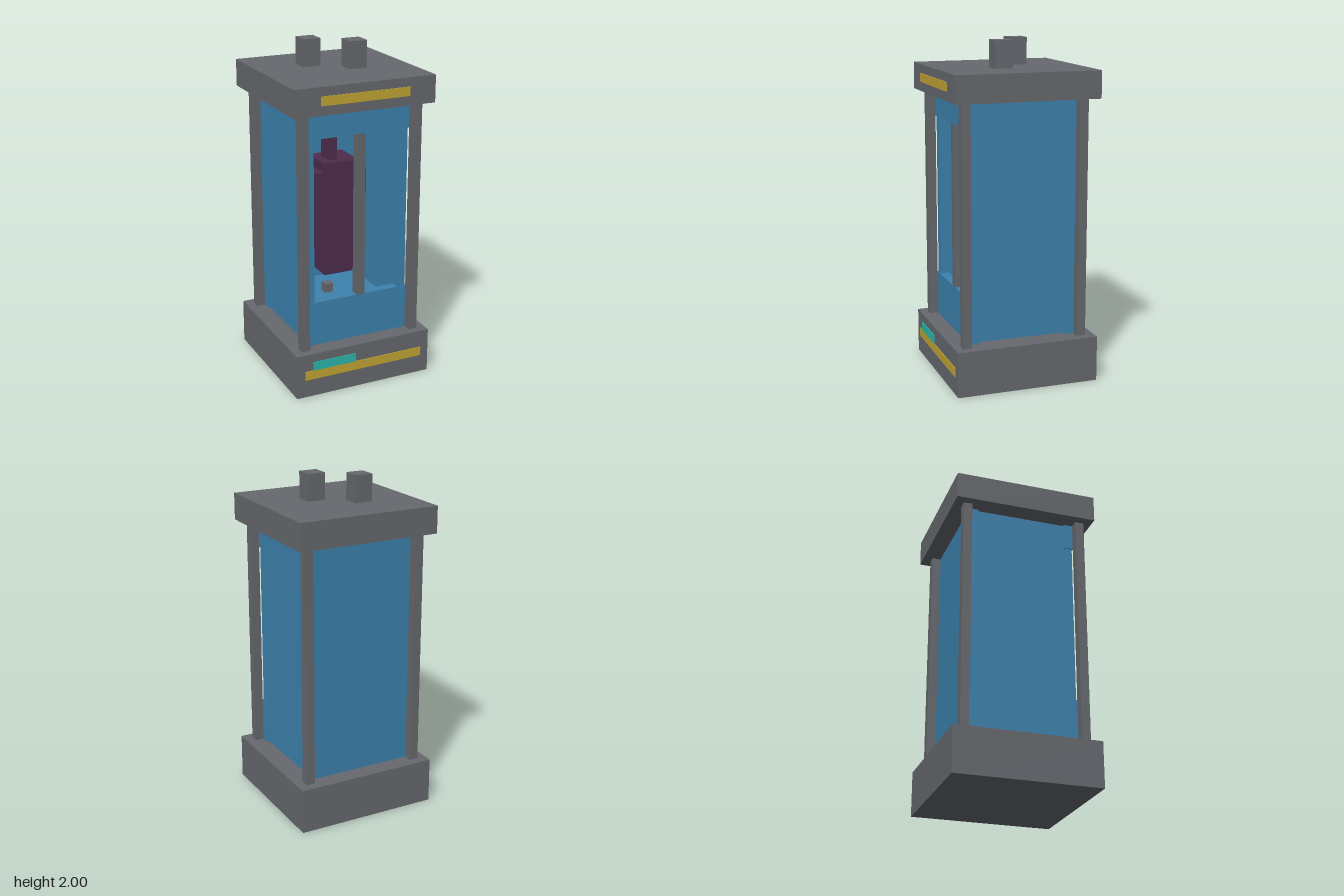
import * as THREE from 'three';

const mat = (name, color) => {
  const m = new THREE.MeshStandardMaterial({ color });
  m.name = name;
  return m;
};

export function createModel() {
  const model = new THREE.Group();
  model.name = 'displayChamber';
  const grey = mat('metalGrey', 0x66696e);
  const blue = mat('panelBlue', 0x3d82ad);
  const purple = mat('figurePurple', 0x4f2c4e);
  const yellow = mat('stripeYellow', 0xc2a534);
  const teal = mat('labelTeal', 0x2cb8ac);

  // Box given by its extents on each axis
  const box = (name, material, [x0, x1], [y0, y1], [z0, z1]) => {
    const mesh = new THREE.Mesh(new THREE.BoxGeometry(x1 - x0, y1 - y0, z1 - z0), material);
    mesh.position.set((x0 + x1) / 2, (y0 + y1) / 2, (z0 + z1) / 2);
    mesh.name = name;
    model.add(mesh);
  };
  const mirrored = (s, a, b) => (s > 0 ? [a, b] : [-b, -a]);

  // Base, roof and the two roof vents
  const full = [-0.432, 0.432], depth = [-0.432, 0.427];
  box('base', grey, full, [0, 0.27], depth);
  box('roof', grey, full, [1.68, 1.84], depth);
  box('backVent', grey, [-0.163, -0.055], [1.84, 2], [-0.163, -0.055]);
  box('frontVent', grey, [0.054, 0.162], [1.84, 2], [0, 0.108]);

  // Corner posts
  for (const sx of [-1, 1]) {
    for (const sz of [-1, 1]) {
      box('cornerPost', grey, mirrored(sx, 0.325, 0.378), [0.27, 1.68], mirrored(sz, 0.325, 0.378));
    }
  }

  // Back and side walls
  const wide = [-0.325, 0.325], front = [0.27, 0.325];
  box('backWall', blue, wide, [0.27, 1.68], [-0.325, -0.27]);
  for (const s of [-1, 1]) {
    box('sideWall', blue, mirrored(s, 0.27, 0.32), [0.28, 1.674], [-0.27, 0.27]);
    box('frontJamb', blue, mirrored(s, 0.27, 0.32), [0.54, 1.52], [0.27, 0.32]);
  }

  // Front frame around the opening, with its off-centre bar
  box('frontSill', blue, wide, [0.27, 0.54], front);
  box('frontHeader', blue, wide, [1.52, 1.68], front);
  box('frontBar', grey, [0, 0.05], [0.54, 1.52], front);

  // Inner floor and ceiling with their fittings
  box('innerFloor', blue, [-0.27, 0.27], [0.28, 0.43], [-0.27, 0.27]);
  box('innerCeiling', blue, [-0.27, 0.27], [1.52, 1.674], [-0.27, 0.27]);
  box('floorFitting', grey, [-0.054, 0], [0.43, 0.486], [-0.054, 0]);
  box('ceilingFitting', grey, [-0.054, 0], [1.46, 1.52], [-0.054, 0]);

  // Suspended figure
  box('figureBody', purple, [-0.109, 0.109], [0.6, 1.3], [-0.109, 0.109]);
  box('figureArms', purple, [-0.163, 0.163], [1.085, 1.245], [-0.112, 0.112]);
  box('figureNeck', purple, [-0.054, 0], [1.3, 1.46], [-0.054, 0.054]);

  // Painted plates on the front
  const plate = [0.427, 0.432];
  box('roofStripe', yellow, [-0.272, 0.27], [1.735, 1.788], plate);
  box('baseStripe', yellow, [-0.38, 0.38], [0.11, 0.165], plate);
  box('baseLabel', teal, [-0.328, -0.055], [0.165, 0.218], plate);

  return model;
}
